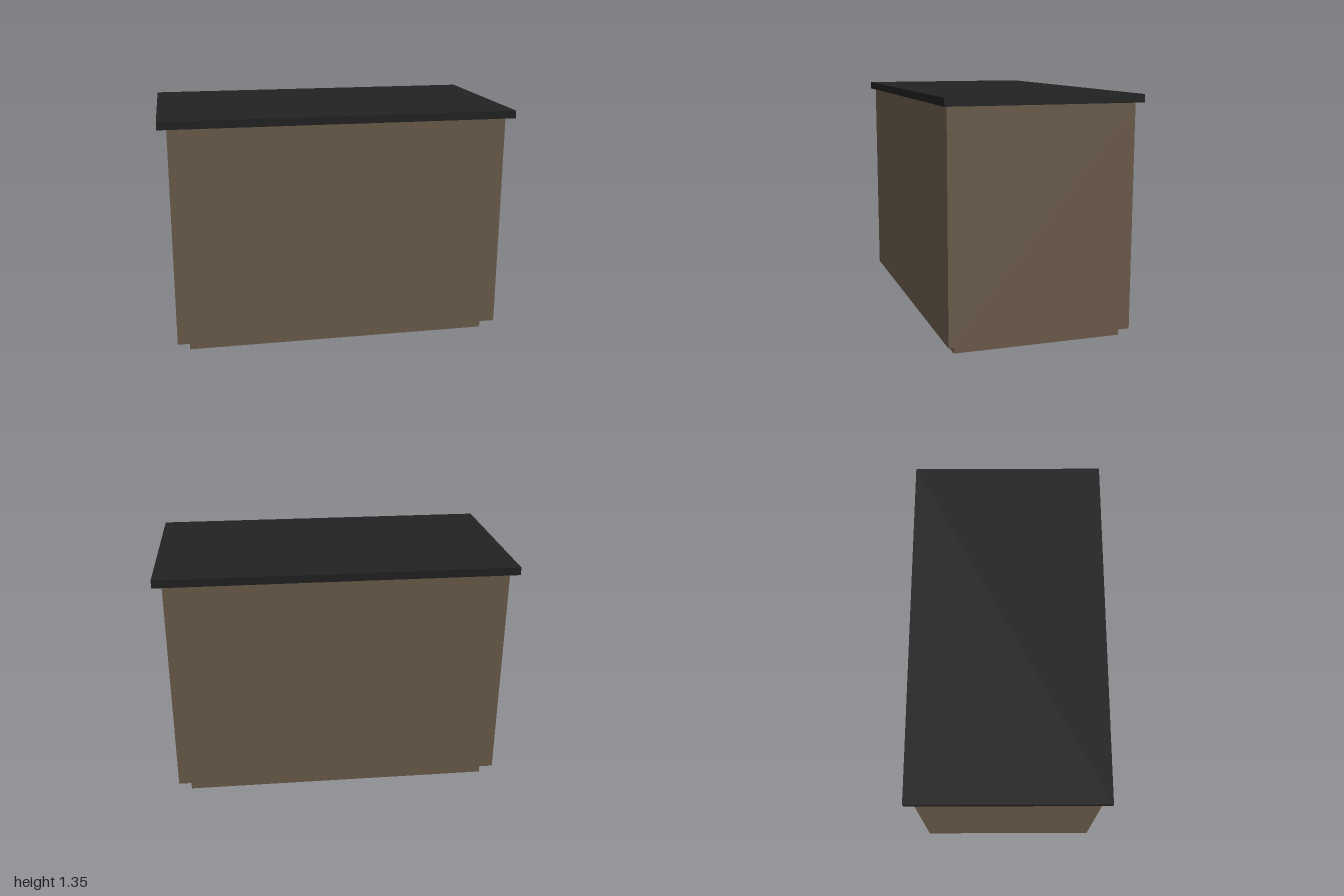
import * as THREE from 'three';

export function createModel() {
  const wood = new THREE.MeshStandardMaterial({ color: 0x6f5f4e });
  wood.name = 'brown wood';
  const black = new THREE.MeshStandardMaterial({ color: 0x222222 });
  black.name = 'black worktop';

  const model = new THREE.Group();
  model.name = 'kitchenIsland';

  // Box spanning y0..y1 and z0..z1, centred on x
  function slab(name, width, y0, y1, z0, z1, material) {
    const mesh = new THREE.Mesh(new THREE.BoxGeometry(width, y1 - y0, z1 - z0), material);
    mesh.position.set(0, (y0 + y1) / 2, (z0 + z1) / 2);
    mesh.name = name;
    model.add(mesh);
  }

  // Recessed plinth, set back slightly further at the front
  slab('plinth', 1.76, 0, 0.057, -0.487, 0.47, wood);
  // Cabinet body
  slab('cabinet', 1.898, 0.057, 1.304, -0.515, 0.517, wood);
  // Overhanging worktop: black all round with a wooden underside
  slab('worktop', 2, 1.304, 1.348, -0.542, 0.542, [black, black, black, wood, black, black]);

  return model;
}
